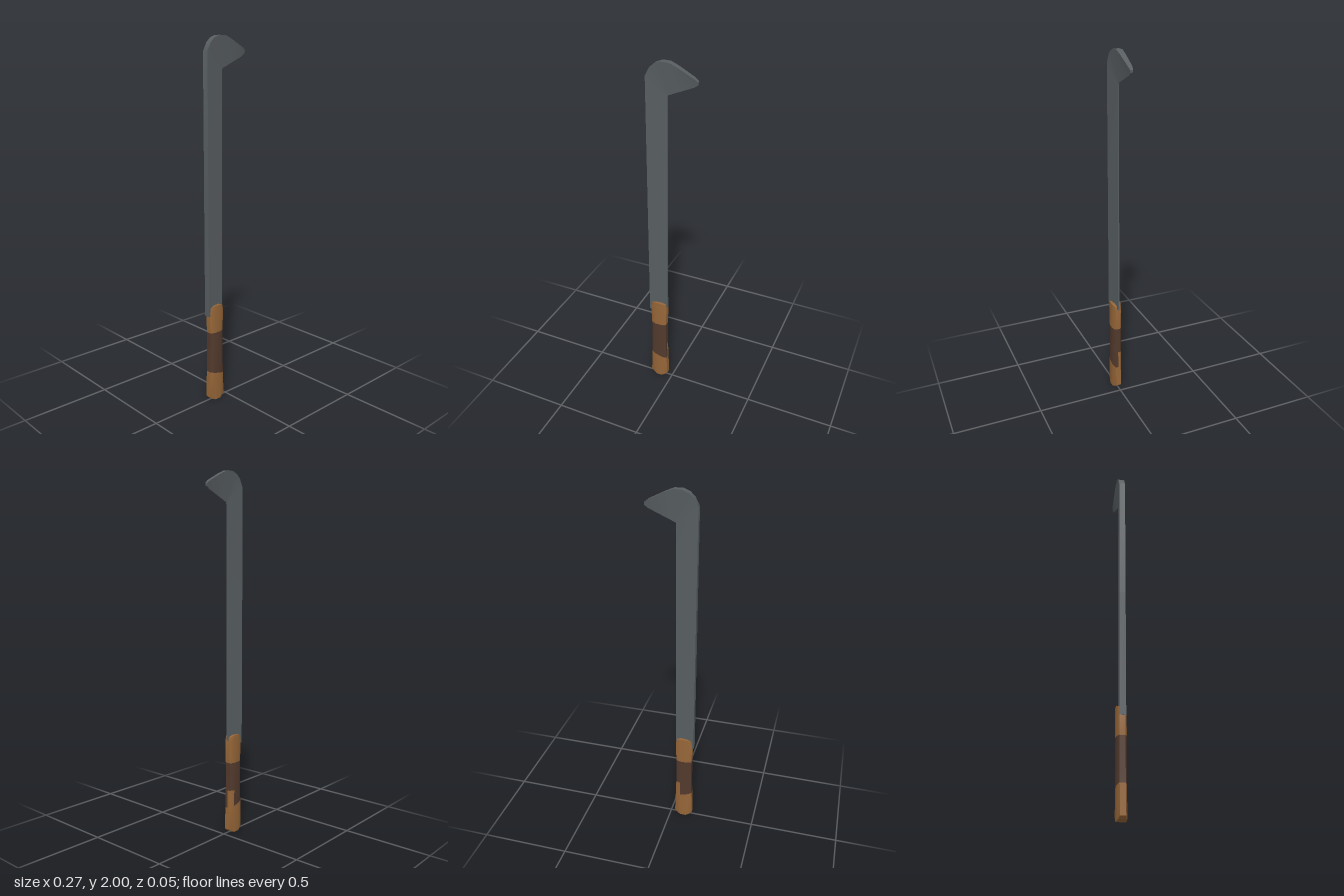
import * as THREE from 'three';
import { toCreasedNormals } from 'three/addons/utils/BufferGeometryUtils.js';

// Skin a stack of rings; rings run left, front, right, back. Cells are sorted into named parts.
function loft(rings, partOf) {
  const parts = {};
  const n = rings[0].length;
  const quad = (name, a, b, c, d) => {
    (parts[name] ??= []).push(...a, ...b, ...c, ...a, ...c, ...d);
  };
  for (let i = 0; i < rings.length - 1; i++) {
    for (let k = 0; k < n; k++) {
      const m = (k + 1) % n;
      quad(partOf(i, k), rings[i][k], rings[i][m], rings[i + 1][m], rings[i + 1][k]);
    }
  }
  const lo = rings[0], hi = rings.at(-1);
  for (let k = 0; k < n / 2; k++) {
    const p = (n - k) % n, q = n - k - 1;
    quad(partOf(0, -1), lo[p], lo[q], lo[k + 1], lo[k]);
    quad(partOf(rings.length - 2, -1), hi[k], hi[k + 1], hi[q], hi[p]);
  }
  return parts;
}

function addParts(group, parts, materials, crease) {
  for (const [name, positions] of Object.entries(parts)) {
    const geometry = new THREE.BufferGeometry();
    geometry.setAttribute('position', new THREE.Float32BufferAttribute(positions, 3));
    const mesh = new THREE.Mesh(toCreasedNormals(geometry, crease), materials[name]);
    mesh.name = name;
    group.add(mesh);
  }
}

export function createModel() {
  const steel = new THREE.MeshStandardMaterial({ color: 0x585e61 });
  steel.name = 'dark steel';
  const wood = new THREE.MeshStandardMaterial({ color: 0x966638 });
  wood.name = 'wood';
  const leather = new THREE.MeshStandardMaterial({ color: 0x533a2d });
  leather.name = 'dark leather';

  const model = new THREE.Group();
  model.name = 'hookedBlade';

  // Blade: wedge sections, each [spine x, y, half thickness, edge x, y, half thickness]
  const bladeSections = [
    [-0.135, 0.51, 0.017, -0.027, 0.54, 0.005],
    [-0.135, 1.2, 0.017, -0.026, 1.2, 0.004],
    [-0.135, 1.92, 0.017, -0.024, 1.825, 0.003],
    [-0.112, 1.965, 0.017, -0.022, 1.836, 0.003],
    [-0.088, 1.987, 0.017, -0.018, 1.838, 0.003],
    [-0.055, 2.0, 0.017, -0.01, 1.841, 0.003],
    [-0.012, 2.0, 0.0165, 0.01, 1.85, 0.003],
    [0.03, 1.983, 0.015, 0.045, 1.865, 0.003],
    [0.115, 1.94, 0.012, 0.115, 1.896, 0.004],
    [0.134, 1.925, 0.008, 0.134, 1.91, 0.005],
  ];
  const bladeRings = bladeSections.map(([sx, sy, st, ex, ey, et]) => [
    [sx, sy, st], [ex, ey, et], [ex, ey, -et], [sx, sy, -st],
  ]);
  addParts(model, loft(bladeRings, () => 'blade'), { blade: steel }, 0.5);

  // Handle section: x as a share of the half width, z in units
  const front = [[-1, 0.015], [-0.8, 0.0205], [-0.42, 0.0262], [0.42, 0.0262], [0.8, 0.0205], [1, 0.015]];
  const section = [[-1, 0], ...front, [1, 0], ...front.map(([u, z]) => [u, -z]).reverse()];

  // Handle levels: [y, half width, lift toward the sides, slant across the width]
  const levels = [
    [0.0, 0.04, 0.01, 0],
    [0.022, 0.052, 0, 0],
    [0.162, 0.048, 0, -0.014],
    [0.25, 0.045, 0, 0],
    [0.41, 0.045, 0, 0],
    [0.53, 0.049, 0, 0],
    [0.57, 0.043, -0.012, 0],
  ];
  const handleRings = levels.map(([y, w, lift, slant]) =>
    section.map(([u, z]) => [-0.079 + u * w, y + lift * u * u + slant * u, z]));

  // Leather wrap at mid grip, with a step of bare wood at the back of the edge side
  const handlePart = (i, k) => {
    const step = i === 2 && k >= 7 && k <= 9;
    if ((i === 2 || i === 3) && !step) return 'gripWrap';
    return i < 3 ? 'lowerHandle' : 'upperHandle';
  };
  addParts(model, loft(handleRings, handlePart),
    { gripWrap: leather, lowerHandle: wood, upperHandle: wood }, 0.6);

  return model;
}
